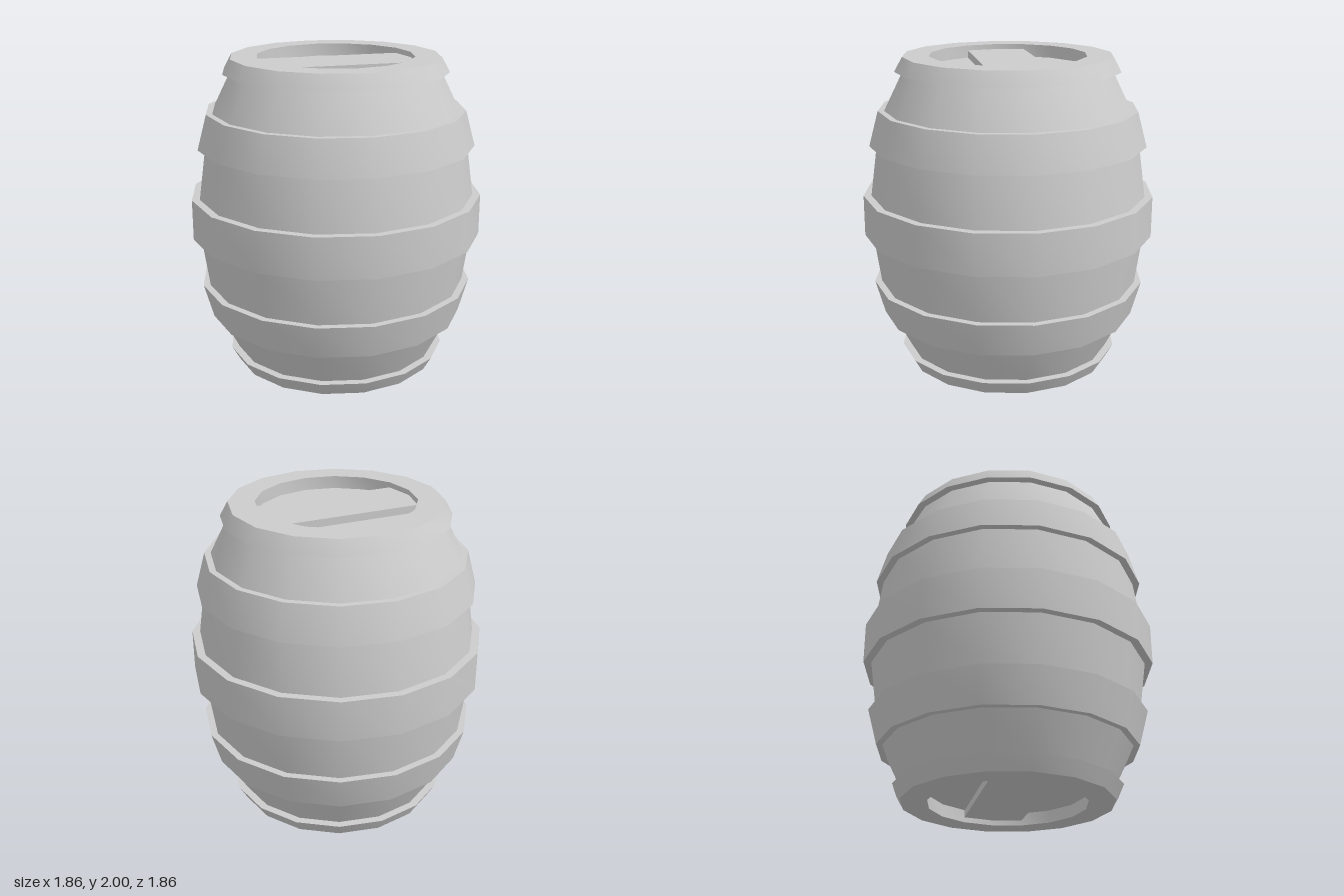
import * as THREE from 'three';
import { toCreasedNormals } from 'three/addons/utils/BufferGeometryUtils.js';

const SIDES = 16;
const HOLE = 0.495; // radius of the recess in each end
const FLOOR = 0.08; // depth of the recess
const PLANK = 0.033; // depth of the plank's face

export function createModel() {
  const barrel = new THREE.Group();
  barrel.name = 'barrel';
  const material = new THREE.MeshStandardMaterial({ color: 0xcccccc });

  const add = (name, geometry) => {
    const mesh = new THREE.Mesh(geometry, material);
    mesh.name = name;
    barrel.add(mesh);
  };

  // 16-sided turned part: smooth around, sharp along the profile
  const turn = (name, profile) => {
    const points = profile.map(([r, y]) => new THREE.Vector2(r, y));
    add(name, toCreasedNormals(new THREE.LatheGeometry(points, SIDES), 0.5));
  };

  // Same profile on both halves; the upper one is flipped and reversed to keep facing out
  const turnPair = (name, profile) => {
    turn('lower' + name, profile);
    turn('upper' + name, profile.map(([r, y]) => [r, 2 - y]).reverse());
  };

  // Staves between the hoops
  turnPair('EndStaves', [[0.66, 0.09], [0.78, 0.33]]);
  turnPair('MiddleStaves', [[0.835, 0.55], [0.88, 0.87]]);

  // Hoops with their ledges
  turnPair('RimHoop', [[0.66, 0], [0.71, 0.09], [0.66, 0.09]]);
  turnPair('Hoop', [[0.78, 0.33], [0.82, 0.33], [0.88, 0.55], [0.835, 0.55]]);
  turn('middleHoop', [[0.88, 0.87], [0.93, 0.87], [0.93, 1.13], [0.88, 1.13]]);

  // Flat rim and recess wall at each end
  turnPair('Rim', [[HOLE, FLOOR], [HOLE, 0], [0.66, 0]]);

  // Outline of the diagonal plank, its ends following the recess wall
  const outline = [1, 2, 3, 9, 10, 11].map((i) => {
    const a = (i / SIDES) * Math.PI * 2;
    return new THREE.Vector2(HOLE * Math.cos(a), HOLE * Math.sin(a));
  });

  // Recessed head and raised plank at each end
  for (const [prefix, y, dir] of [['lower', FLOOR, 1], ['upper', 2 - FLOOR, -1]]) {
    const head = new THREE.CircleGeometry(HOLE, SIDES);
    head.rotateX((dir * Math.PI) / 2).translate(0, y, 0);
    add(prefix + 'Head', head);

    const depth = FLOOR - PLANK;
    const plank = new THREE.ExtrudeGeometry(new THREE.Shape(outline), { depth, bevelEnabled: false });
    plank.rotateX(-Math.PI / 2).translate(0, dir > 0 ? PLANK : y, 0);
    add(prefix + 'Plank', plank);
  }

  return barrel;
}
